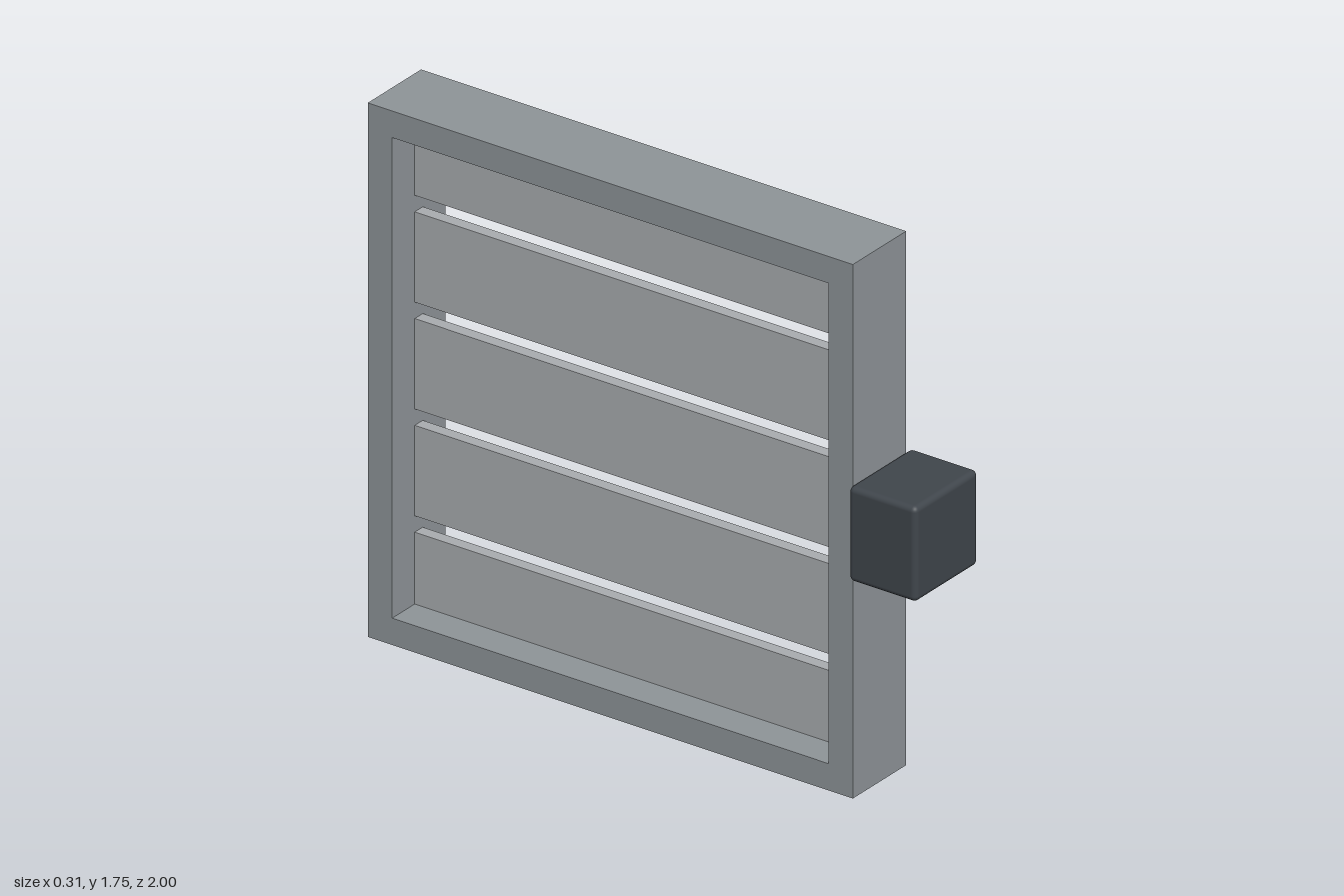
import * as THREE from 'three';
import { RoundedBoxGeometry } from 'three/addons/geometries/RoundedBoxGeometry.js';

const SIZE = 1.755;          // outer side of the square frame
const BORDER = 0.088;        // frame bar width
const DEPTH = 0.264;         // frame thickness along x
const Z_MID = -0.1225;       // frame centre along z
const SLAT_HEIGHT = 0.297, SLAT_PITCH = 0.351, SLAT_THICKNESS = 0.04;

function addPart(group, name, geometry, color, x = 0, y = 0, z = 0) {
  const mesh = new THREE.Mesh(geometry, new THREE.MeshStandardMaterial({ color }));
  mesh.name = name;
  mesh.position.set(x, y, z);
  group.add(mesh);
  return mesh;
}

// Square outline centred on the origin
function square(PathType, side) {
  const h = side / 2;
  return new PathType([[-h, -h], [h, -h], [h, h], [-h, h]].map(([x, y]) => new THREE.Vector2(x, y)));
}

export function createModel() {
  const model = new THREE.Group();
  model.name = 'slattedPanel';
  const midY = SIZE / 2;
  const inner = SIZE - 2 * BORDER;

  // Frame: a square ring extruded across the panel thickness
  const ring = square(THREE.Shape, SIZE);
  ring.holes.push(square(THREE.Path, inner));
  const frameGeometry = new THREE.ExtrudeGeometry(ring, { depth: DEPTH, bevelEnabled: false });
  frameGeometry.translate(0, 0, -DEPTH / 2).rotateY(Math.PI / 2);
  addPart(model, 'frame', frameGeometry, 0x8f9599, 0, midY, Z_MID);

  // Upright slats; the outer two are cut off by the frame
  for (let i = -2; i <= 2; i++) {
    const centre = midY + i * SLAT_PITCH;
    const bottom = Math.max(centre - SLAT_HEIGHT / 2, BORDER);
    const top = Math.min(centre + SLAT_HEIGHT / 2, SIZE - BORDER);
    const slat = new THREE.BoxGeometry(SLAT_THICKNESS, top - bottom, inner);
    addPart(model, `slat${i + 3}`, slat, 0xaaadb0, 0, (bottom + top) / 2, Z_MID);
  }

  // Dark rounded block on the front edge
  addPart(model, 'edgeBlock', new RoundedBoxGeometry(0.312, 0.312, 0.245, 3, 0.018), 0x40464c, 0, 0.88, 0.8775);

  return model;
}
